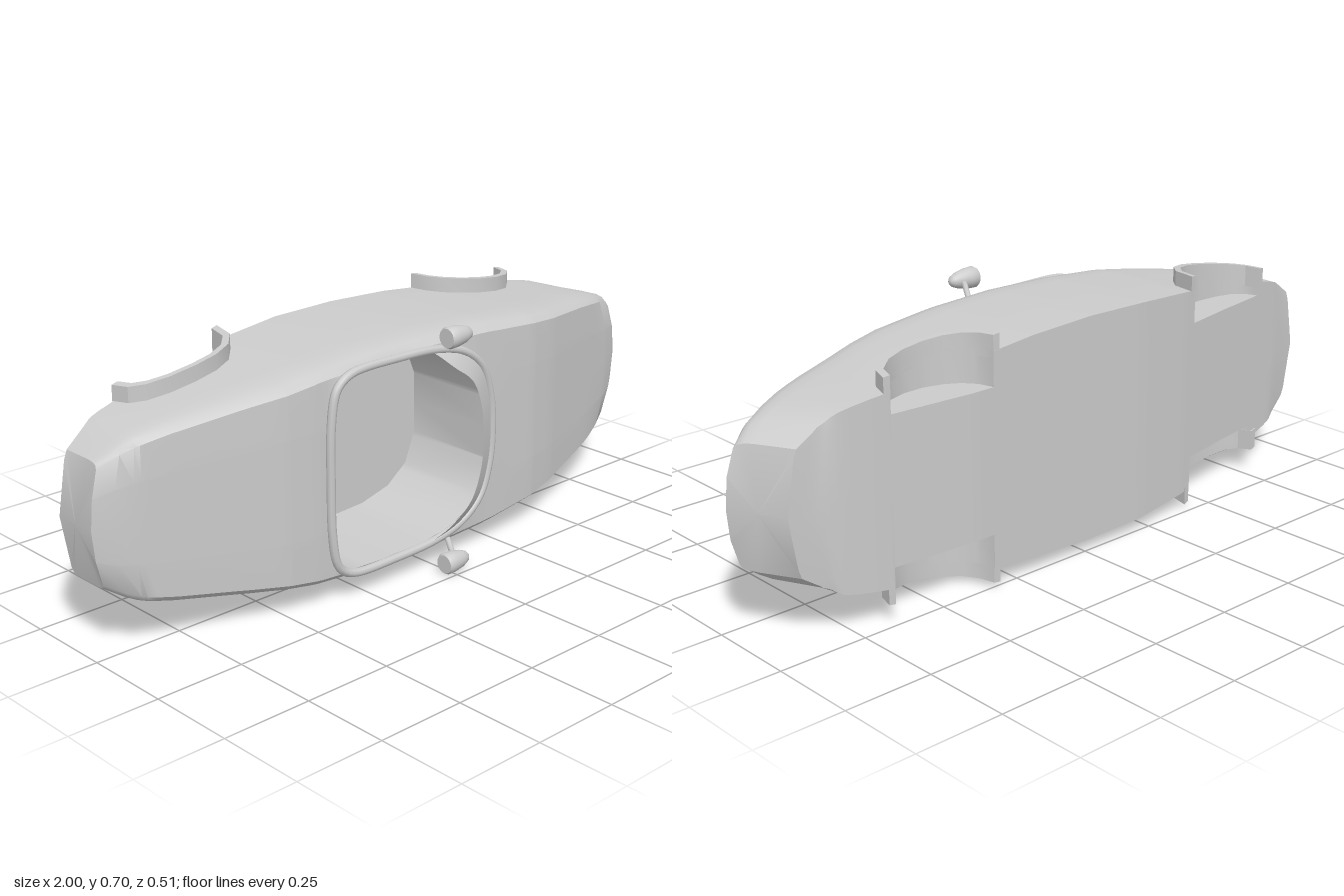
import * as THREE from 'three';
import { toCreasedNormals } from 'three/addons/utils/BufferGeometryUtils.js';

const mat = new THREE.MeshStandardMaterial({ color: 0xcccccc });
const thinMat = new THREE.MeshStandardMaterial({ color: 0xcccccc, side: THREE.DoubleSide });

// The car lies on its side: x runs tail to nose, y across, z from floor to roof.
const HALF_WIDTH = [[-1, .165], [-.95, .2], [-.9, .215], [-.8, .237], [-.6, .27], [-.4, .299], [-.2, .313],
  [0, .316], [.2, .307], [.4, .287], [.7, .25], [.88, .222], [.95, .205], [1, .165]];
const TOP = [[-1, .012], [-.95, .035], [-.88, .055], [-.65, .112], [-.5, .152], [-.42, .159], [0, .165],
  [.25, .163], [.4, .155], [.5, .134], [.7, .068], [.9, .002], [.96, -.025], [1, -.055]];
const BOTTOM = [[-1, -.122], [-.9, -.145], [-.6, -.195], [-.4, -.234], [-.2, -.255], [.4, -.255], [.66, -.236], [.92, -.205], [1, -.198]];
// Half outline of the cockpit opening: x, half width
const OPENING = [[-.375, .15], [-.36, .232], [-.34, .258], [-.3, .276], [-.15, .28], [0, .272], [.1, .245], [.17, .19], [.205, .1]];
const PIT_FLOOR = -.13;
// Wheel arch outlines: x, z
const ARCHES = {
  rear: [[-.8, -.165], [-.785, -.118], [-.75, -.09], [-.69, -.074], [-.61, -.07], [-.54, -.079], [-.48, -.105], [-.435, -.155], [-.418, -.231]],
  front: [[.312, -.255], [.325, -.205], [.355, -.165], [.4, -.137], [.46, -.121], [.53, -.122], [.595, -.143], [.645, -.185], [.662, -.236]],
};

function at(table, x) {
  if (x <= table[0][0]) return table[0][1];
  for (let i = 1; i < table.length; i++) {
    const [x0, v0] = table[i - 1], [x1, v1] = table[i];
    if (x <= x1) return v0 + (v1 - v0) * (x - x0) / (x1 - x0);
  }
  return table[table.length - 1][1];
}

// Arch outline drawn in towards its centre
function inset(arch) {
  const cx = (arch[0][0] + arch[arch.length - 1][0]) / 2, cz = at(BOTTOM, cx);
  return arch.map(([x, z]) => [cx + (x - cx) * .89, cz + (z - cz) * .86]);
}
const WELLS = Object.values(ARCHES).map(inset);
const inside = (table, x) => x > table[0][0] && x < table[table.length - 1][0];

function crease(geo, angle) {
  geo.scale(100, 100, 100);
  return toCreasedNormals(geo, angle).scale(.01, .01, .01);
}

// One cross-section: floor, wheel well, side, shoulder, deck, cockpit
function section(x) {
  const w = at(HALF_WIDTH, x), zt = at(TOP, x), zb = at(BOTTOM, x);
  const s = Math.min(1, (zt - zb) / .35);
  const well = WELLS.find(t => inside(t, x));
  const arch = well ? Math.max(at(well, x), zb) : zb;
  const pit = inside(OPENING, x);
  const c = at(OPENING, x) - .008;
  const open = x < -.45 || x > .3 ? .5 * w : c;
  const floor = pit ? PIT_FLOOR : zt;
  const inner = Math.min(.2, .85 * w);
  const half = [[0, zb], [inner, zb], [inner, arch], [w, arch], [w, zt - .11 * s], [.988 * w, zt - .06 * s],
    [.96 * w, zt - .025 * s], [Math.max(.9 * w, c < .9 * w ? 0 : c + .003), zt - .004], [open, zt], [open * .96, floor], [0, floor]];
  const ring = half.concat(half.slice(1, -1).reverse().map(([y, z]) => [-y, z]));
  // Ends bow out in plan, and the nose leans under
  const nose = THREE.MathUtils.smoothstep(x, .75, 1), tail = THREE.MathUtils.smoothstep(-x, .85, 1);
  return ring.map(([y, z]) => {
    const bow = .035 * (y / .17) ** 2;
    return [x - nose * (bow + Math.max(0, -.06 - z) * .55) + tail * bow, y, z];
  });
}

function bodyGeometry() {
  const xs = [];
  for (const t of [HALF_WIDTH, TOP, BOTTOM, OPENING, ...WELLS]) t.forEach(p => xs.push(p[0]));
  for (const t of [OPENING, ...WELLS]) {
    const a = t[0][0], b = t[t.length - 1][0];
    xs.push(a + 2e-4, b - 2e-4);
  }
  for (let x = -.95; x < 1; x += .05) xs.push(x);
  xs.sort((a, b) => a - b);
  const rings = xs.filter((x, i) => i === 0 || x - xs[i - 1] > 1e-5).map(section);
  const pos = [];
  const tri = (...v) => {
    const [a, b, c] = v.map(p => new THREE.Vector3(...p));
    if (b.sub(a).cross(c.sub(a)).length() > 1e-10) pos.push(...v.flat());
  };
  const n = rings[0].length;
  for (let k = 1; k < rings.length; k++) {
    const a = rings[k - 1], b = rings[k];
    for (let i = 0; i < n; i++) {
      const j = (i + 1) % n;
      tri(a[i], a[j], b[j]);
      tri(a[i], b[j], b[i]);
    }
  }
  const first = rings[0], last = rings[rings.length - 1];
  for (let i = 0; i < n; i++) {
    const j = (i + 1) % n;
    tri([.96, 0, -.13], last[i], last[j]);
    tri([-1, 0, -.055], first[j], first[i]);
  }
  const geo = new THREE.BufferGeometry();
  geo.setAttribute('position', new THREE.Float32BufferAttribute(pos, 3));
  return crease(geo, .6);
}

// Arch band that follows the body side
function flareGeometry(arch, side) {
  const pts = [...arch, ...inset(arch).reverse()].map(p => new THREE.Vector2(...p));
  const geo = new THREE.ExtrudeGeometry(new THREE.Shape(pts), { depth: .06, bevelEnabled: false });
  geo.translate(0, 0, -.03).rotateX(Math.PI / 2);
  const p = geo.attributes.position;
  for (let i = 0; i < p.count; i++) p.setY(i, p.getY(i) + side * (at(HALF_WIDTH, p.getX(i)) + .012));
  geo.computeVertexNormals();
  return crease(geo, .5);
}

// Low raked windscreen lip round the front of the opening
function windscreenGeometry(curve) {
  const path = curve.getSpacedPoints(160).slice(0, -1);
  const start = path.findIndex(p => p.x < -.1);
  const loop = [...path.slice(start), ...path.slice(0, start)].filter(p => p.x > -.06);
  const pos = [], index = [];
  loop.forEach((p, i) => {
    const f = THREE.MathUtils.smoothstep(p.x, -.06, .13);
    pos.push(p.x, p.y, p.z, p.x - .075 * f, p.y * (1 - .1 * f), p.z + .042 * f);
    if (i) index.push(2 * i - 2, 2 * i, 2 * i - 1, 2 * i, 2 * i + 1, 2 * i - 1);
  });
  const geo = new THREE.BufferGeometry();
  geo.setAttribute('position', new THREE.Float32BufferAttribute(pos, 3));
  geo.setIndex(index);
  geo.computeVertexNormals();
  return geo;
}

export function createModel() {
  const model = new THREE.Group();
  model.name = 'carBody';
  const car = new THREE.Group();
  car.name = 'car';
  car.position.y = .35;
  model.add(car);
  const add = (name, geo, material = mat) => {
    const mesh = new THREE.Mesh(geo, material);
    mesh.name = name;
    car.add(mesh);
    return mesh;
  };

  add('shell', bodyGeometry(), thinMat);

  // Cockpit rim and windscreen, both from the opening outline
  const outline = [[.214, 0], ...OPENING.slice().reverse(), [-.378, 0], ...OPENING.map(([x, y]) => [x, -y])];
  const curve = new THREE.CatmullRomCurve3(outline.map(([x, y]) => new THREE.Vector3(x, y, .167)), true);
  add('cockpitRim', new THREE.TubeGeometry(curve, 120, .012, 8, true));
  add('windscreen', windscreenGeometry(curve), thinMat);

  for (const side of [1, -1]) {
    const label = side > 0 ? 'Upper' : 'Lower';
    for (const [end, arch] of Object.entries(ARCHES)) add(end + 'Flare' + label, flareGeometry(arch, side));

    // Bullet mirror on a curved stalk, flat face to the rear
    const profile = [[0, -.045], [.026, -.045], [.03, -.038], [.029, -.015], [.024, .015], [.016, .036], [.008, .044], [0, .046]];
    const bullet = new THREE.LatheGeometry(profile.map(p => new THREE.Vector2(...p)), 24);
    bullet.rotateZ(-Math.PI / 2);
    add('mirror' + label, crease(bullet, .7)).position.set(.02, side * .32, .225);
    const stalk = new THREE.CatmullRomCurve3([[.065, .288, .145], [.055, .302, .165], [.04, .313, .19], [.025, .316, .215]]
      .map(([x, y, z]) => new THREE.Vector3(x, side * y, z)));
    add('mirrorStalk' + label, new THREE.TubeGeometry(stalk, 12, .008, 8));
  }
  return model;
}
